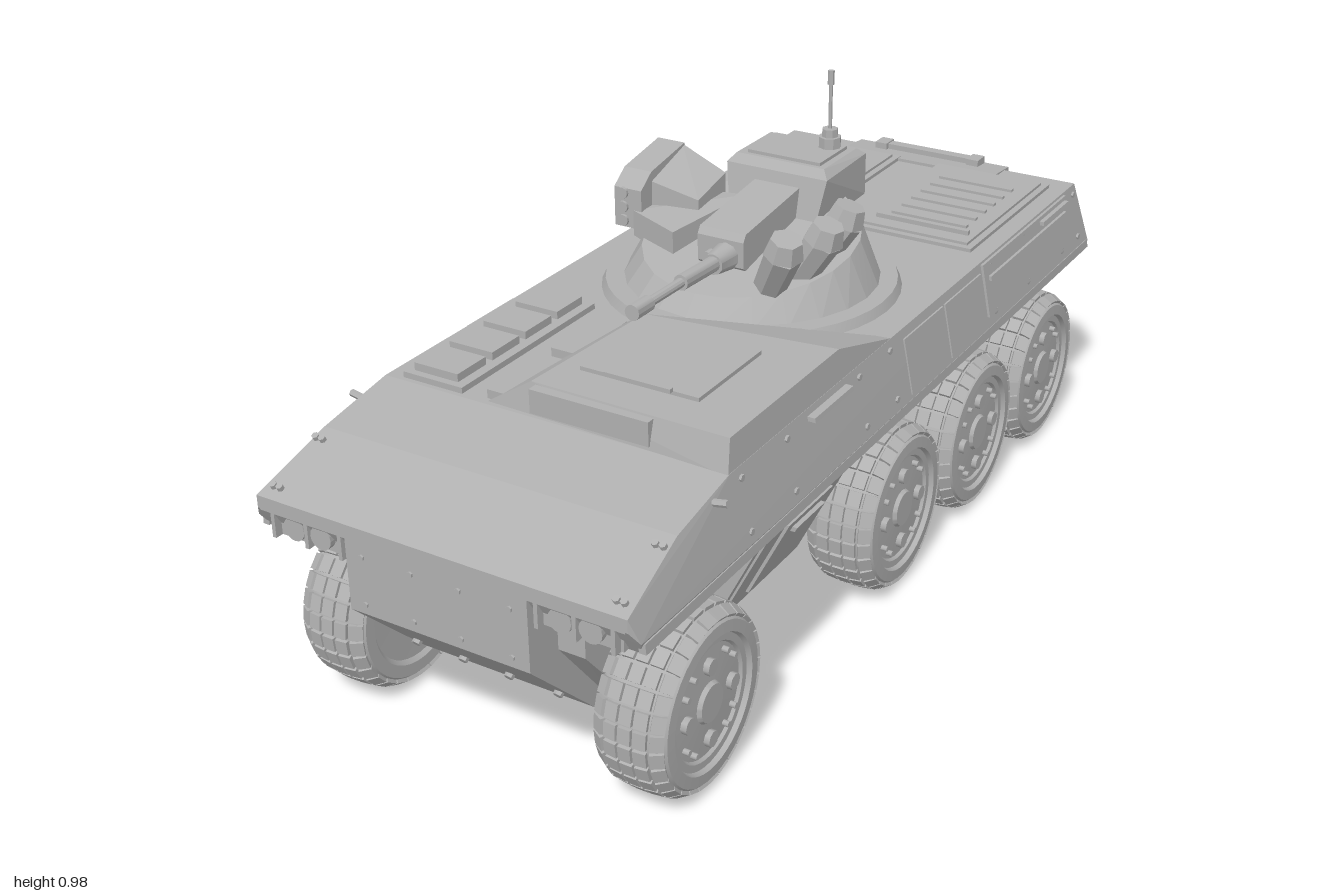
import * as THREE from 'three';
import { mergeGeometries, toCreasedNormals } from 'three/addons/utils/BufferGeometryUtils.js';
import { ConvexGeometry } from 'three/addons/geometries/ConvexGeometry.js';

export function createModel() {
  const root = new THREE.Group();
  const grey = new THREE.MeshStandardMaterial({ color: 0xb0b0b0 });
  grey.name = 'armour grey';

  // ---- helpers ----
  const add = (name, geo, parent = root) => {
    const m = new THREE.Mesh(geo, grey);
    m.name = name;
    parent.add(m);
    return m;
  };
  const box = (name, x0, x1, y0, y1, z0, z1) => {
    const g = new THREE.BoxGeometry(x1 - x0, y1 - y0, z1 - z0);
    return add(name, g.translate((x0 + x1) / 2, (y0 + y1) / 2, (z0 + z1) / 2));
  };
  const hullOf = pts => new ConvexGeometry(pts.map(p => new THREE.Vector3(...p)));
  const sym = pts => pts.flatMap(([x, y, z]) => [[x, y, z], [-x, y, z]]);
  // convex side profile of [z, y] points, spread from x0 to x1
  const prism = (name, x0, x1, pts) =>
    add(name, hullOf(pts.flatMap(([z, y]) => [[x0, y, z], [x1, y, z]])));
  // cylinder between two points
  const rod = (name, a, b, r0, r1 = r0, sides = 12) => {
    const p = new THREE.Vector3(...a), q = new THREE.Vector3(...b);
    const g = toCreasedNormals(new THREE.CylinderGeometry(r1, r0, p.distanceTo(q), sides), 0.7);
    const m = add(name, g);
    m.position.copy(p).lerp(q, 0.5);
    m.quaternion.setFromUnitVectors(new THREE.Vector3(0, 1, 0), q.sub(p).normalize());
    return m;
  };
  // plate on a sloped flank: xAt(y) gives the flank surface
  const flank = (name, s, xAt, y0, y1, z0, z1, t) => add(name, hullOf(
    [[y0, z0], [y0, z1], [y1, z0], [y1, z1]].flatMap(([y, z]) =>
      [[s * (xAt(y) - 0.01), y, z], [s * (xAt(y) + t), y, z]])));
  const upperX = y => 0.37 + (0.58 - y) * 0.2;
  const lowerX = y => 0.25 + (y - 0.15) * 0.5;

  // ---- hull ----
  add('upperHull', hullOf(sym([
    [0.37, 0.58, 0.66], [0.37, 0.58, -0.92], [0.372, 0.55, 0.83], [0.385, 0.49, 1],
    [0.4, 0.44, 0.985], [0.4, 0.43, -0.96], [0.385, 0.408, 0.965], [0.385, 0.408, -0.955],
    [0.25, 0.36, 0.9], [0.25, 0.36, -0.94], [0.385, 0.465, 1]])));
  add('lowerHull', hullOf(sym([
    [0.245, 0.41, 0.92], [0.245, 0.32, 0.92], [0.245, 0.175, 0.8], [0.2, 0.14, 0.78],
    [0.245, 0.41, -0.94], [0.245, 0.175, -0.95], [0.2, 0.14, -0.93]])));
  prism('bowPlate', -0.19, 0.19, [[1, 0.465], [1, 0.32], [0.82, 0.138], [0.7, 0.138], [0.8, 0.465]]);
  prism('noseLip', -0.38, 0.38, [[0.97, 0.49], [1, 0.487], [1, 0.462], [0.97, 0.462]]);
  for (const x of [-0.155, -0.05, 0.05, 0.155]) {
    for (const y of [0.435, 0.34]) rod('bowBolt', [x, y, 0.995], [x, y, 1.004], 0.006, 0.006, 6);
    rod('bowBolt', [x, 0.197, 0.87], [x, 0.189, 0.882], 0.009, 0.009, 6);
  }

  // ---- raised crew deck and periscope hatch ----
  add('raisedDeck', hullOf([
    [-0.15, 0.575, 0.65], [0.37, 0.575, 0.665], [0.37, 0.575, 0.03], [-0.12, 0.575, 0.25],
    [-0.05, 0.64, 0.64], [0.362, 0.64, 0.645], [0.362, 0.64, 0.25], [-0.03, 0.64, 0.3]]));
  box('deckVisionPlate', -0.04, 0.21, 0.588, 0.636, 0.62, 0.662);
  box('deckHatch', 0, 0.25, 0.63, 0.648, 0.34, 0.56);
  box('deckHatchHandle', 0.06, 0.2, 0.65, 0.658, 0.565, 0.575);
  box('periscopePlate', -0.335, -0.2, 0.57, 0.592, 0.22, 0.65);
  for (let i = 0; i < 4; i++)
    box('periscope', -0.32, -0.22, 0.59, 0.608, 0.235 + i * 0.105, 0.32 + i * 0.105);
  for (const z of [0.27, 0.47]) box('periscopeRail', -0.15, -0.09, 0.575, 0.598, z, z + 0.17);

  // ---- engine covers with slats ----
  for (const s of [-1, 1]) {
    const x = 0.19 * s;
    box('engineCover', x - 0.14, x + 0.14, 0.57, 0.588, -0.865, -0.42);
    box('engineCoverPanel', x - 0.125, x + 0.125, 0.58, 0.594, -0.85, -0.435);
    for (let i = 0; i < 6; i++)
      box('slat', x - 0.09, x + 0.09, 0.59, 0.6, -0.77 + i * 0.05, -0.758 + i * 0.05);
    box('coverHandle', x - 0.11, x + 0.11, 0.592, 0.604, -0.482, -0.472);
  }

  // ---- flanks ----
  for (const s of [-1, 1]) {
    flank('beltStrip', s, y => 0.396 + (0.44 - y) * 0.1, 0.415, 0.435, -0.955, 0.975, 0.004);
    flank('sidePanel', s, upperX, 0.445, 0.56, -0.18, 0, 0.004);
    flank('sidePanel', s, upperX, 0.445, 0.56, -0.37, -0.19, 0.004);
    flank('stowagePanel', s, upperX, 0.46, 0.575, -0.85, -0.38, 0.006);
    flank('stowageRail', s, upperX, 0.535, 0.545, -0.83, -0.4, 0.012);
    for (const [z0, z1] of [[0.24, 0.39], [-0.84, -0.69]])
      flank('grabHandle', s, upperX, 0.558, 0.567, z0, z1, 0.016);
    for (const z of [0.63, 0.47, 0.19, 0.06, -0.42, -0.6, -0.8, -0.9])
      for (const y of [0.46, 0.56])
        rod('sideBolt', [s * upperX(y), y, z], [s * (upperX(y) + 0.005), y, z], 0.007, 0.007, 6);
    // sloped service hatch between the first and second wheel
    add('serviceBox', hullOf([0.2, 0.54].flatMap(z => [
      [s * 0.2, 0.41, z], [s * 0.38, 0.41, z], [s * 0.25, 0.15, z], [s * 0.2, 0.15, z]])));
    flank('serviceFrame', s, lowerX, 0.17, 0.4, 0.22, 0.52, 0.005);
    flank('serviceDoor', s, lowerX, 0.2, 0.37, 0.28, 0.45, 0.012);
    flank('serviceHandle', s, lowerX, 0.34, 0.35, 0.31, 0.42, 0.022);
    // lights and mirror arms
    box('headlightTray', s > 0 ? 0.2 : -0.365, s > 0 ? 0.365 : -0.2, 0.412, 0.466, 0.93, 0.982);
    for (const x of [0.25, 0.31]) {
      rod('headlight', [s * x, 0.44, 0.95], [s * x, 0.44, 0.995], 0.023, 0.023, 16);
    }
    for (const x of [0.205, 0.28, 0.355]) box('headlightGuard', s * x - 0.004, s * x + 0.004, 0.412, 0.466, 0.97, 0.998);
    rod('mirrorArm', [s * 0.365, 0.555, 0.72], [s * 0.402, 0.562, 0.72], 0.007, 0.007, 6);
    for (const [y, z] of [[0.542, 0.86], [0.5, 0.975]])
      for (const x of [0.35, 0.365]) rod('noseBolt', [s * x, y, z], [s * x, y + 0.008, z + 0.004], 0.007, 0.007, 6);
    // rear corner boxes
    add('rearCornerBox', hullOf([
      [0.2, 0.575, -0.9], [0.35, 0.575, -0.9], [0.2, 0.56, -0.945], [0.345, 0.56, -0.945],
      [0.2, 0.43, -0.975], [0.36, 0.43, -0.975], [0.385, 0.43, -0.93], [0.2, 0.41, -0.93]]
      .map(([x, y, z]) => [s * x, y, z])));
    for (const [x, y, z] of [[0.225, 0.54, -0.948], [0.33, 0.54, -0.948], [0.225, 0.45, -0.969], [0.34, 0.45, -0.969]])
      rod('rearBolt', [s * x, y, z], [s * x, y, z - 0.007], 0.007, 0.007, 6);
  }

  // ---- rear door ----
  prism('rearDoor', -0.195, 0.195,
    [[-0.85, 0.587], [-0.945, 0.58], [-0.99, 0.2], [-0.955, 0.15], [-0.85, 0.15]]);
  const doorZ = y => -0.945 - (0.58 - y) * 0.118;
  const doorPlate = (name, x0, x1, y0, y1, t) => prism(name, x0, x1,
    [[doorZ(y0) + 0.01, y0], [doorZ(y0) - t, y0], [doorZ(y1) + 0.01, y1], [doorZ(y1) - t, y1]]);
  doorPlate('doorPanel', -0.165, 0.165, 0.2, 0.565, 0.004);
  doorPlate('doorWindow', -0.11, 0.11, 0.43, 0.53, 0.009);
  for (const s of [-1, 1]) {
    doorPlate('doorHinge', s * 0.12 - 0.012, s * 0.12 + 0.012, 0.2, 0.32, 0.012);
    box('doorTopBracket', s * 0.12 - 0.015, s * 0.12 + 0.015, 0.575, 0.598, -0.94, -0.9);
  }
  box('doorTopBar', -0.11, 0.11, 0.58, 0.595, -0.935, -0.91);

  // ---- wheels ----
  const L = (...p) => p.map(([r, y]) => new THREE.Vector2(r, y));
  const tyre = new THREE.LatheGeometry(L([0, -0.06], [0.12, -0.062], [0.128, -0.07], [0.152, -0.07],
    [0.164, -0.058], [0.171, -0.03], [0.171, 0.03], [0.164, 0.058], [0.152, 0.071], [0.13, 0.0725],
    [0.126, 0.063], [0.112, 0.063], [0.108, 0.057], [0.04, 0.06], [0.036, 0.068], [0, 0.068]), 40);
  tyre.rotateZ(-Math.PI / 2);
  const parts = [toCreasedNormals(tyre, 0.6)];
  for (let i = 0; i < 30; i++)
    for (const [x, r, tilt] of [[-0.057, 0.163, 0.55], [-0.029, 0.171, 0.1], [0, 0.1725, 0], [0.029, 0.171, -0.1], [0.057, 0.163, -0.55]])
      parts.push(new THREE.BoxGeometry(0.025, 0.011, 0.03).rotateZ(tilt).translate(x, r, 0)
        .rotateX(i * Math.PI / 15).toNonIndexed());
  for (let i = 0; i < 4; i++) {
    const lug = (r, size, a) => parts.push(new THREE.CylinderGeometry(size, size, 0.016, 8)
      .rotateZ(-Math.PI / 2).translate(0.062, r, 0).rotateX(a).toNonIndexed());
    lug(0.075, 0.016, i * Math.PI / 2);
    lug(0.095, 0.006, i * Math.PI / 2 + 0.6);
    lug(0.095, 0.006, i * Math.PI / 2 - 0.6);
  }
  const wheelGeo = mergeGeometries(parts);
  for (const z of [0.753, -0.008, -0.386, -0.753]) {
    for (const s of [-1, 1]) {
      const w = add('wheel', wheelGeo);
      w.position.set(s * 0.322, 0.178, z);
      w.rotation.y = s > 0 ? 0 : Math.PI;
      box('springMount', s * 0.3 - 0.05, s * 0.3 + 0.05, 0.365, 0.41, z - 0.065, z + 0.065);
    }
    rod('axle', [-0.27, 0.178, z], [0.27, 0.178, z], 0.03);
  }

  // ---- turret ----
  const ring = new THREE.CylinderGeometry(0.3, 0.31, 0.022, 40).translate(0, 0.588, -0.06);
  add('turretRing', toCreasedNormals(ring, 0.5));
  const cone = new THREE.CylinderGeometry(0.225, 0.268, 1, 24, 1);
  const p = cone.attributes.position;
  for (let i = 0; i < p.count; i++)
    p.setY(i, p.getY(i) < 0 ? 0.59 : 0.682 - 0.2 * p.getZ(i)); // roof rises to the rear
  const turret = add('turretBody', toCreasedNormals(cone, 0.1));
  turret.position.z = -0.06;
  add('sightHousing', hullOf([
    [-0.12, 0.7, -0.34], [0.115, 0.7, -0.34], [-0.12, 0.79, -0.34], [0.115, 0.79, -0.34],
    [-0.105, 0.803, -0.325], [0.1, 0.803, -0.325], [-0.105, 0.803, -0.18], [0.1, 0.803, -0.18],
    [-0.12, 0.785, -0.165], [0.115, 0.785, -0.165], [-0.1, 0.68, -0.14], [0.1, 0.68, -0.14]]));
  box('sightLid', -0.085, 0.085, 0.8, 0.81, -0.31, -0.19);
  prism('gunCradle', -0.05, 0.055, [[-0.2, 0.65], [-0.2, 0.765], [-0.06, 0.745], [0.06, 0.735], [0.07, 0.72], [0.07, 0.665], [0.04, 0.64]]);
  box('cradleCheek', -0.06, -0.02, 0.655, 0.72, -0.15, 0.05);
  rod('gunMantlet', [0.015, 0.685, 0.05], [0.015, 0.685, 0.12], 0.032, 0.022, 10);
  rod('gunSleeve', [0.015, 0.686, 0.11], [0.015, 0.692, 0.24], 0.016);
  rod('gunBarrel', [0.015, 0.692, 0.23], [0.015, 0.695, 0.37], 0.01);
  rod('muzzle', [0.015, 0.695, 0.355], [0.015, 0.696, 0.41], 0.016);
  rod('coaxialGun', [-0.018, 0.685, 0.06], [-0.018, 0.685, 0.09], 0.009);

  // side launcher with its shield
  prism('launcherShield', -0.28, -0.215,
    [[0.02, 0.675], [0.02, 0.76], [-0.02, 0.79], [-0.15, 0.813], [-0.165, 0.75], [-0.12, 0.67]]);
  for (let i = 0; i < 3; i++)
    rod('launcherTube', [-0.258, 0.69 + i * 0.03, 0], [-0.258, 0.69 + i * 0.03, 0.026], 0.012);
  add('launcherFairing', hullOf([
    [-0.22, 0.81, -0.15], [-0.22, 0.77, -0.02], [-0.115, 0.765, -0.15], [-0.115, 0.74, -0.04],
    [-0.22, 0.7, -0.15], [-0.115, 0.7, -0.15], [-0.22, 0.71, -0.02], [-0.115, 0.71, -0.04]]));
  add('launcherBase', hullOf([
    [-0.235, 0.715, 0.02], [-0.115, 0.705, 0.06], [-0.235, 0.66, 0.02], [-0.115, 0.645, 0.06],
    [-0.235, 0.715, -0.14], [-0.06, 0.73, -0.14], [-0.235, 0.66, -0.14], [-0.06, 0.66, -0.14]]));

  // smoke dischargers
  for (const [x, z, dx, dz] of [[0.16, -0.06, 0.05, -0.02], [0.165, 0.02, 0.055, 0.005], [0.14, 0.095, 0.045, 0.03]]) {
    rod('smokeTube', [x - 0.01, 0.66, z], [x + dx * 0.8, 0.745, z + dz], 0.034, 0.038, 7);
    rod('smokeCap', [x + dx * 0.78, 0.742, z + dz], [x + dx, 0.778, z + dz * 1.2], 0.041, 0.032, 7);
  }

  // aerial
  rod('aerialBase', [0.055, 0.8, -0.29], [0.055, 0.833, -0.29], 0.024, 0.024, 8);
  rod('aerialCollar', [0.055, 0.83, -0.29], [0.055, 0.85, -0.29], 0.017, 0.017, 8);
  rod('aerialRod', [0.055, 0.84, -0.29], [0.055, 0.97, -0.29], 0.004, 0.004, 6);
  rod('aerialTip', [0.055, 0.945, -0.29], [0.055, 0.975, -0.29], 0.007, 0.007, 6);

  return root;
}
